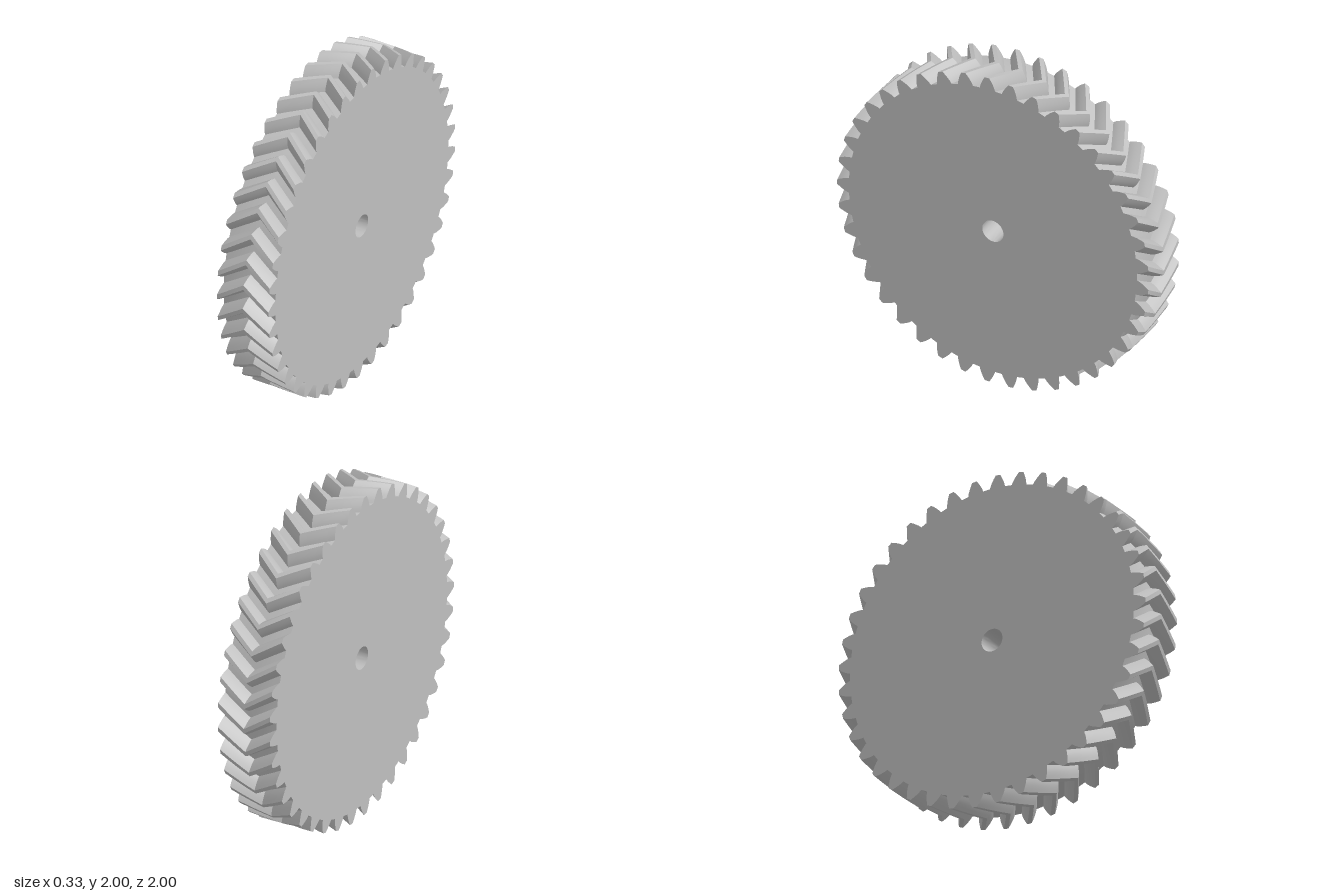
import * as THREE from 'three';
import { toCreasedNormals } from 'three/addons/utils/BufferGeometryUtils.js';

const TEETH = 41;
const HALF_WIDTH = 0.167;
const BORE = 0.068;
const TWIST = THREE.MathUtils.degToRad(6.8); // sweep from each end face to the middle

// One tooth flank: [radius, half angle of the tooth at that radius]
const FLANK = [[0.925, 0.053], [0.944, 0.0465], [0.964, 0.0365], [0.983, 0.0255], [1, 0.0145]];

// Toothed outline with a gap centred on angle 0 and a round bore
function gearShape() {
  const points = [];
  const add = (r, a) => points.push(new THREE.Vector2(r * Math.cos(a), r * Math.sin(a)));
  for (let i = 0; i < TEETH; i++) {
    const mid = (i + 0.5) * 2 * Math.PI / TEETH;
    for (const [r, half] of FLANK) add(r, mid - half);
    for (const [r, half] of [...FLANK].reverse()) add(r, mid + half);
  }
  const shape = new THREE.Shape(points);
  shape.holes.push(new THREE.Path().absarc(0, 0, BORE, 0, Math.PI * 2, true));
  return shape;
}

export function createModel() {
  const steel = new THREE.MeshStandardMaterial({ color: 0xbfbfbf });
  steel.name = 'grey steel';

  const geometry = new THREE.ExtrudeGeometry(gearShape(), {
    depth: 2 * HALF_WIDTH, steps: 8, curveSegments: 24, bevelEnabled: false,
  });
  geometry.translate(0, 0, -HALF_WIDTH);

  // Twist towards the middle plane and back again to form the chevron teeth
  const pos = geometry.attributes.position;
  const v = new THREE.Vector3();
  const axis = new THREE.Vector3(0, 0, 1);
  for (let i = 0; i < pos.count; i++) {
    v.fromBufferAttribute(pos, i);
    v.applyAxisAngle(axis, -TWIST * (1 - Math.abs(v.z) / HALF_WIDTH));
    pos.setXYZ(i, v.x, v.y, v.z);
  }
  geometry.rotateY(Math.PI / 2);
  geometry.translate(0, 1, 0);

  const gear = new THREE.Mesh(toCreasedNormals(geometry, 0.3), steel);
  gear.name = 'herringboneGear';

  const model = new THREE.Group();
  model.name = 'gearWheel';
  model.add(gear);
  return model;
}
